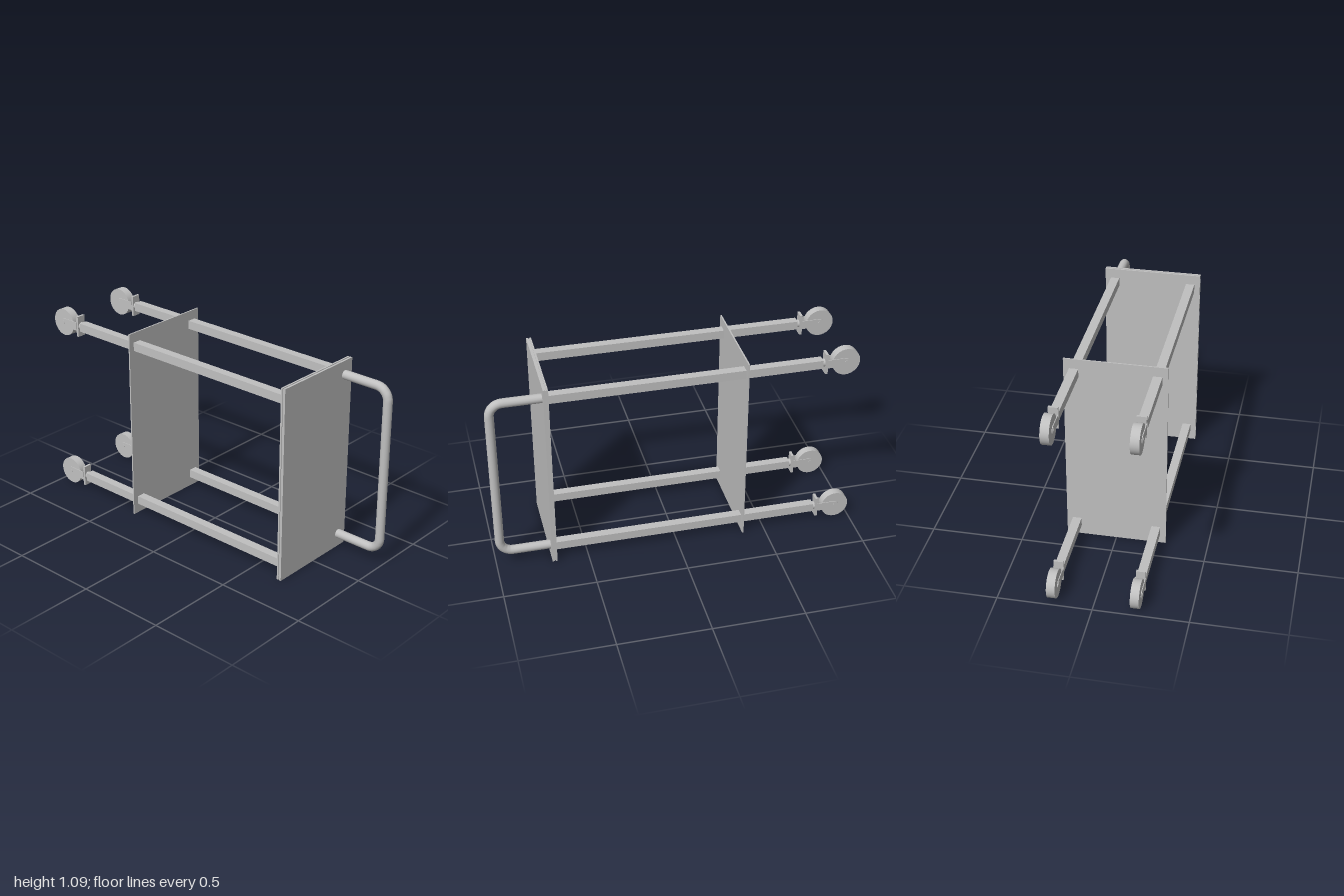
import * as THREE from 'three';

export function createModel() {
  const model = new THREE.Group();
  model.name = 'utilityCart';
  const metal = new THREE.MeshStandardMaterial({ color: 0xc0c0c0 });
  metal.name = 'light grey metal';

  const MID = 0.546, LEG_X = 0.217, LEG_Y = 0.468, TUBE = 0.048;

  const add = (parent, geometry, name, x = 0, y = 0, z = 0) => {
    const mesh = new THREE.Mesh(geometry, metal);
    mesh.name = name;
    mesh.position.set(x, y, z);
    parent.add(mesh);
    return mesh;
  };
  const box = (parent, name, w, h, d, x, y, z) =>
    add(parent, new THREE.BoxGeometry(w, h, d), name, x, y, z);

  // Tray boards: a layered one beside the handle, a thin one further down
  box(model, 'topBoard', 0.544, 1.092, 0.012, 0, MID, 0.694);
  box(model, 'topBoardCore', 0.536, 1.084, 0.008, 0, MID, 0.686);
  box(model, 'topBoardUnderside', 0.544, 1.092, 0.01, 0, MID, 0.678);
  box(model, 'lowerShelf', 0.544, 1.092, 0.008, 0, MID, -0.375);

  // Push handle: a straight tube with two segmented bends
  const y0 = MID - LEG_Y, y1 = MID + LEG_Y, zEnd = 0.973, r = 0.07;
  const profile = [[y0, 0.69]];
  const STEPS = 8;
  for (let i = 0; i <= STEPS; i++) {
    const a = (i / STEPS) * Math.PI / 2;
    profile.push([y0 + r - r * Math.cos(a), zEnd - r + r * Math.sin(a)]);
  }
  const points = [...profile, ...profile.slice().reverse().map(([y, z]) => [y0 + y1 - y, z])]
    .map(([y, z]) => new THREE.Vector3(0.214, y, z));
  const path = new THREE.CurvePath();
  for (let i = 1; i < points.length; i++) path.add(new THREE.LineCurve3(points[i - 1], points[i]));
  add(model, new THREE.TubeGeometry(path, 160, 0.025, 16), 'pushHandle');

  // Fork cheek outline: straight arm ending in a round axle boss
  const cheek = new THREE.Shape();
  cheek.moveTo(0, -0.024);
  cheek.lineTo(0.1, -0.024);
  cheek.absarc(0.1, 0, 0.024, -Math.PI / 2, Math.PI / 2, false);
  cheek.lineTo(0, 0.024);
  cheek.closePath();
  const cheekGeometry = new THREE.ExtrudeGeometry(cheek, { depth: 0.004, bevelEnabled: false });
  cheekGeometry.translate(0, 0, -0.002).rotateY(Math.PI / 2);

  // Four legs, each with a caster
  for (const sx of [-1, 1]) {
    for (const sy of [-1, 1]) {
      const x = sx * LEG_X, y = MID + sy * LEG_Y;
      box(model, 'leg', TUBE, TUBE, 1.465, x, y, -0.06);

      const caster = new THREE.Group();
      caster.name = 'caster';
      caster.position.set(x, y, 0);
      model.add(caster);
      const stem = add(caster, new THREE.CylinderGeometry(0.022, 0.022, 0.03, 16), 'casterStem', 0, 0, -0.795);
      stem.rotation.x = Math.PI / 2;
      box(caster, 'casterPlate', 0.05, 0.118, 0.014, 0, 0, -0.812);
      for (const side of [-1, 1]) {
        add(caster, cheekGeometry, 'forkCheek', side * 0.0255, 0, -0.819);
      }
      const wheel = add(caster, new THREE.CylinderGeometry(0.077, 0.077, 0.046, 32), 'wheel', 0, 0, -0.92);
      wheel.rotation.z = Math.PI / 2;
      const axle = add(caster, new THREE.CylinderGeometry(0.01, 0.01, 0.058, 12), 'axle', 0, 0, -0.92);
      axle.rotation.z = Math.PI / 2;
    }
  }
  return model;
}
